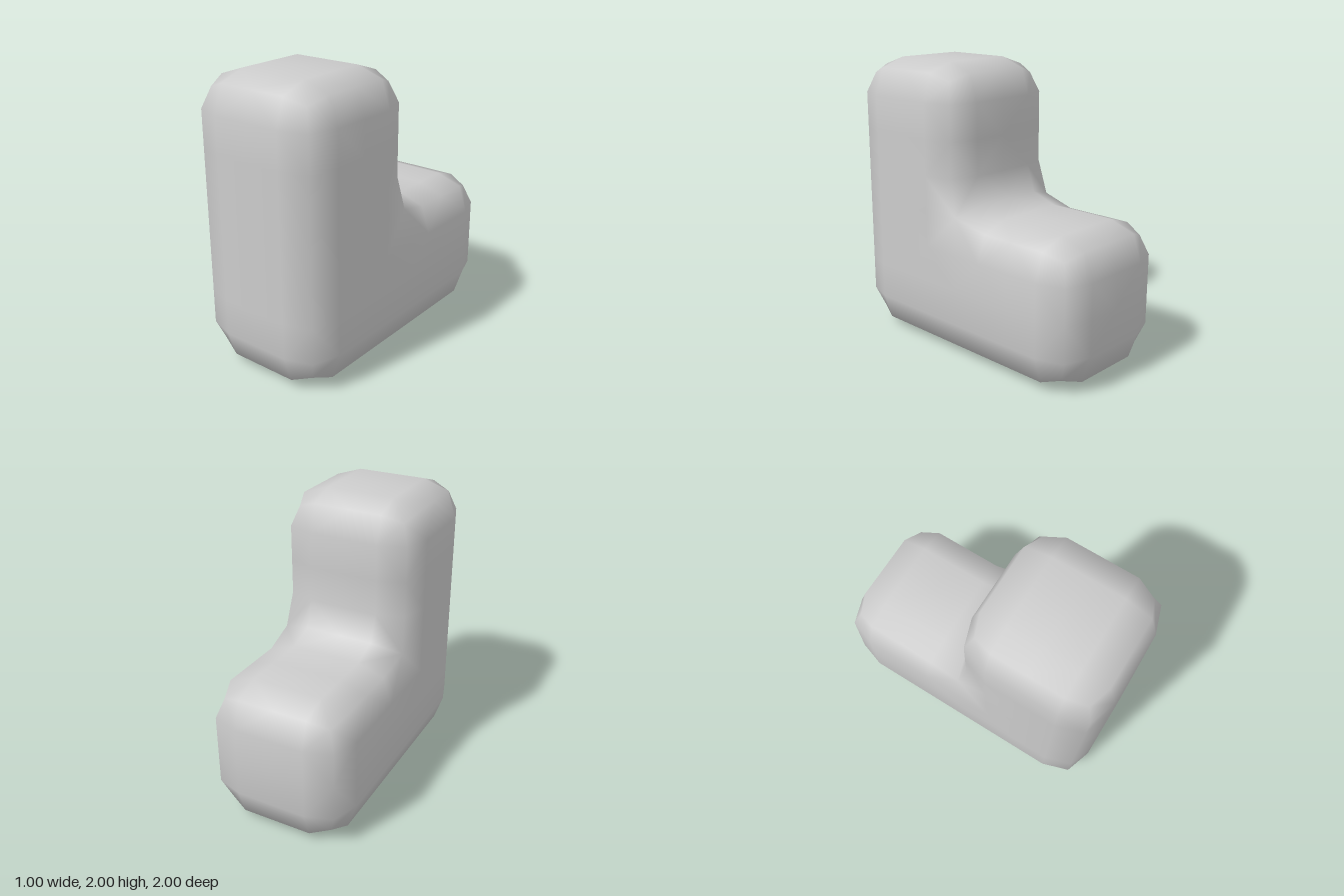
import * as THREE from 'three';

const CELL = 0.5;
const SIZE = [2, 4, 4]; // cells along x, y, z

// L-shaped block: a low base with a tall front half
const filled = ([x, y, z]) =>
  x >= 0 && x < SIZE[0] && y >= 0 && y < SIZE[1] && z >= 0 && z < SIZE[2] && (y < 2 || z >= 2);

// Outer quads of the block, sharing their corner points
function blockCage() {
  const points = [], ids = new Map(), quads = [];
  const pointId = (p) => {
    const key = p.join();
    if (!ids.has(key)) {
      ids.set(key, points.length);
      points.push(new THREE.Vector3(p[0] - SIZE[0] / 2, p[1], p[2] - SIZE[2] / 2).multiplyScalar(CELL));
    }
    return ids.get(key);
  };
  for (let x = 0; x < SIZE[0]; x++)
    for (let y = 0; y < SIZE[1]; y++)
      for (let z = 0; z < SIZE[2]; z++) {
        const cell = [x, y, z];
        if (!filled(cell)) continue;
        for (let axis = 0; axis < 3; axis++)
          for (const side of [-1, 1]) {
            const next = [...cell];
            next[axis] += side;
            if (filled(next)) continue;
            const quad = [[0, 0], [1, 0], [1, 1], [0, 1]].map(([u, v]) => {
              const p = [...cell];
              if (side > 0) p[axis] += 1;
              p[(axis + 1) % 3] += u;
              p[(axis + 2) % 3] += v;
              return pointId(p);
            });
            quads.push(side > 0 ? quad : quad.reverse());
          }
      }
  return { points, quads };
}

const average = (list) =>
  list.reduce((sum, p) => sum.add(p), new THREE.Vector3()).divideScalar(list.length);

// One round of Catmull-Clark smoothing, returned as an indexed geometry
function softened({ points, quads }) {
  const edges = new Map();
  const around = points.map(() => ({ centres: [], mids: [] }));
  const centres = quads.map((q) => average(q.map((i) => points[i])));
  const edgeKey = (a, b) => Math.min(a, b) + '_' + Math.max(a, b);

  quads.forEach((q, f) => q.forEach((a, i) => {
    const b = q[(i + 1) % 4], key = edgeKey(a, b);
    around[a].centres.push(centres[f]);
    if (!edges.has(key)) {
      const mid = average([points[a], points[b]]);
      around[a].mids.push(mid);
      around[b].mids.push(mid);
      edges.set(key, { ends: [points[a], points[b]], faces: [] });
    }
    edges.get(key).faces.push(centres[f]);
  }));

  // Moved corners, then face centres, then edge points
  const out = points.map((p, i) => {
    const n = around[i].mids.length;
    return average(around[i].centres)
      .addScaledVector(average(around[i].mids), 2)
      .addScaledVector(p, n - 3)
      .divideScalar(n);
  });
  const firstCentre = out.length;
  out.push(...centres);
  for (const e of edges.values()) {
    e.id = out.length;
    out.push(average([...e.ends, ...e.faces]));
  }

  const index = [];
  quads.forEach((q, f) => q.forEach((a, i) => {
    const c = firstCentre + f;
    const after = edges.get(edgeKey(a, q[(i + 1) % 4])).id;
    const before = edges.get(edgeKey(a, q[(i + 3) % 4])).id;
    index.push(a, after, c, a, c, before);
  }));

  const geometry = new THREE.BufferGeometry().setFromPoints(out);
  geometry.setIndex(index);
  geometry.computeVertexNormals();
  return geometry;
}

export function createModel() {
  const group = new THREE.Group();
  const body = new THREE.Mesh(
    softened(blockCage()),
    new THREE.MeshStandardMaterial({ color: 0xcccccc })
  );
  body.name = 'roundedLBlock';
  group.add(body);
  return group;
}
